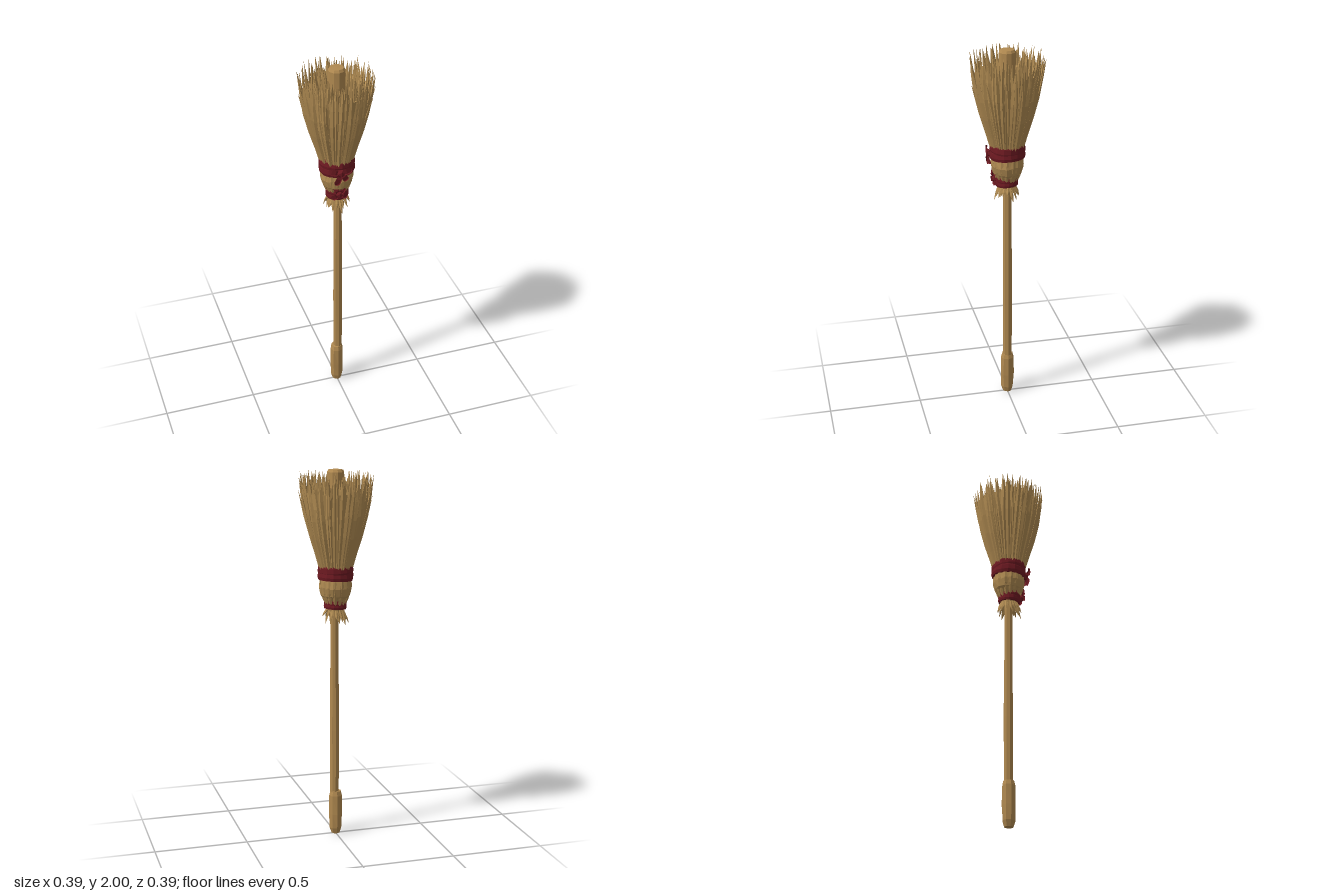
import * as THREE from 'three';
import { mergeGeometries } from 'three/addons/utils/BufferGeometryUtils.js';

const straw = new THREE.MeshStandardMaterial({ color: 0xb08b52, side: THREE.DoubleSide, flatShading: true });
straw.name = 'straw';
const wood = new THREE.MeshStandardMaterial({ color: 0xb08950, flatShading: true });
wood.name = 'wood';
const cloth = new THREE.MeshStandardMaterial({ color: 0x6e1a22, flatShading: true });
cloth.name = 'red cloth';

let seed = 7;
const rnd = (a = 0, b = 1) => {
  seed = (seed * 16807) % 2147483647;
  return a + (b - a) * (seed / 2147483647);
};
const dir = (a) => new THREE.Vector3(Math.sin(a), 0, Math.cos(a));

// Broom head radius at height y
const headProfile = [[1.40, 0.07], [1.48, 0.082], [1.56, 0.108], [1.66, 0.138], [1.78, 0.165], [1.90, 0.181], [2.02, 0.188]];
function headRadius(y) {
  for (let i = 1; i < headProfile.length; i++) {
    const [y0, r0] = headProfile[i - 1], [y1, r1] = headProfile[i];
    if (y <= y1) return THREE.MathUtils.lerp(r0, r1, (y - y0) / (y1 - y0));
  }
  return 0.188;
}

// Joins rings of points (counter-clockwise seen from above) into a closed skin
function loft(rings) {
  const n = rings[0].length, pos = rings.flat().flatMap((p) => [p.x, p.y, p.z]), idx = [];
  for (let i = 0; i < rings.length - 1; i++) {
    for (let j = 0; j < n; j++) {
      const a = i * n + j, b = i * n + (j + 1) % n;
      idx.push(a, b, b + n, a, b + n, a + n);
    }
  }
  const top = (rings.length - 1) * n;
  for (let j = 1; j < n - 1; j++) idx.push(0, j + 1, j, top, top + j, top + j + 1);
  const g = new THREE.BufferGeometry();
  g.setAttribute('position', new THREE.Float32BufferAttribute(pos, 3));
  g.setIndex(idx);
  const flat = g.toNonIndexed();
  flat.computeVertexNormals();
  return flat;
}

// One straw: a diamond section swept upward and tapered to a point
function strand(a, y0, y1, radiusAt, width, thick, twist, steps = 5) {
  const rings = [];
  for (let i = 0; i <= steps; i++) {
    const t = i / steps, y = THREE.MathUtils.lerp(y0, y1, t);
    const ang = a + twist * t * t;
    const taper = t < 0.7 ? 0.6 + 0.57 * t : Math.max(0.06, (1 - t) / 0.3);
    const out = dir(ang), side = dir(ang + Math.PI / 2);
    const c = out.clone().multiplyScalar(radiusAt(y, t)).setY(y);
    const w = width * taper, h = thick * taper;
    rings.push([[h, 0], [0, w], [-h, 0], [0, -w]].map(([o, s]) =>
      c.clone().addScaledVector(out, o).addScaledVector(side, s)));
  }
  return loft(rings);
}

// Faceted turned form, roughened a little by a rule
function turned(points, sides, rough = 0) {
  const g = new THREE.LatheGeometry(points.map(([r, y]) => new THREE.Vector2(r, y)), sides);
  const p = g.attributes.position;
  for (let i = 0; i < p.count; i++) {
    const x = p.getX(i), y = p.getY(i), z = p.getZ(i), a = Math.atan2(x, z);
    const k = 1 + rough * (Math.sin(a * 3 + y * 40) + 0.6 * Math.cos(a * 5 - y * 23));
    p.setXYZ(i, x * k, y, z * k);
  }
  const flat = g.toNonIndexed();
  flat.computeVertexNormals();
  return flat;
}

export function createModel() {
  const broom = new THREE.Group();
  broom.name = 'broom';
  const add = (name, geometry, material, parent = broom) => {
    const m = new THREE.Mesh(geometry, material);
    m.name = name;
    parent.add(m);
    return m;
  };

  // Handle with thick grip and flat end in the middle of the bristles
  add('shaft', turned([[0.024, 0.22], [0.026, 0.6], [0.023, 1.0], [0.022, 1.3], [0.026, 1.75]], 8, 0.03), wood)
    .position.x = 0.006;
  add('grip', turned([[0, 0.005], [0.024, 0.008], [0.034, 0.04], [0.037, 0.12], [0.036, 0.225], [0.029, 0.25], [0, 0.252]], 8, 0.03), wood);
  add('handleTip', turned([[0.026, 1.72], [0.036, 1.8], [0.045, 1.9], [0.044, 1.985], [0.036, 1.998], [0, 2.0]], 10, 0.015), wood);

  // Bristles: a solid flared body with rings of straws over and inside it
  const bristles = new THREE.Group();
  bristles.name = 'bristles';
  broom.add(bristles);
  const body = [1.44, 1.52, 1.6, 1.7, 1.8, 1.88].map((y) => [headRadius(y) * 0.93, y]);
  add('bristleBody', turned([...body, [0.13, 1.86], [0.085, 1.8], [0.03, 1.72]], 26, 0.012), straw, bristles);
  const layers = [
    { n: 54, scale: 0.97, width: 0.0145, low: 1.45, min: 1.93 },
    { n: 46, scale: 0.86, width: 0.013, low: 1.6, min: 1.9 },
    { n: 38, scale: 0.7, width: 0.013, low: 1.65, min: 1.89 },
    { n: 28, scale: 0.53, width: 0.012, low: 1.68, min: 1.84 },
  ];
  layers.forEach(({ n, scale, width, low, min }, k) => {
    const parts = [];
    for (let i = 0; i < n; i++) {
      const s = scale * rnd(0.97, 1.03), flare = rnd(-0.008, 0.016);
      parts.push(strand((i + rnd(-0.35, 0.35)) / n * Math.PI * 2, low, rnd(min, 1.99),
        (y, t) => headRadius(y) * s + flare * t ** 3, width * rnd(0.75, 1.3), rnd(0.007, 0.012), rnd(-0.09, 0.09)));
    }
    add('strawLayer' + (k + 1), mergeGeometries(parts), straw, bristles);
  });

  // Loose straws that lean outward
  const loose = [];
  for (let i = 0; i < 18; i++) {
    const flare = rnd(0.008, 0.026);
    loose.push(strand(i * 2.4 + 1.4, rnd(1.5, 1.6), rnd(1.8, 1.98),
      (y, t) => headRadius(y) + flare * t ** 3 - 0.002, 0.009, 0.006, rnd(-0.08, 0.08)));
  }
  add('looseStraws', mergeGeometries(loose), straw, bristles);

  // Bound neck between the two bands
  add('neck', turned([[0.045, 1.26], [0.055, 1.31], [0.077, 1.34], [0.086, 1.38], [0.081, 1.42], [0.075, 1.46]], 14, 0.025), straw);
  const neckStraws = [], frayed = [];
  for (let i = 0; i < 16; i++) {
    neckStraws.push(strand(i / 16 * Math.PI * 2 + rnd(0, 0.2), 1.29, 1.45,
      (y, t) => 0.052 + 0.03 * Math.sin(Math.min(1, t * 1.2) * Math.PI * 0.6), 0.015, 0.006, rnd(-0.1, 0.1)));
  }
  add('neckStraws', mergeGeometries(neckStraws), straw);

  // Frayed straw ends below the lower band, pointing down
  for (let i = 0; i < 22; i++) {
    const spread = rnd(0.022, 0.04), drop = rnd(0.06, 0.1);
    const g = strand(-i / 22 * Math.PI * 2 + rnd(-0.1, 0.1), 0, drop,
      (y, t) => 0.034 + spread * t, 0.0095, 0.006, rnd(-0.2, 0.2), 3);
    g.rotateX(Math.PI);
    g.translate(0, 1.285, 0);
    frayed.push(g);
  }
  add('frayedEnds', mergeGeometries(frayed), straw);

  // Cloth bands, each wound from two slightly tilted loops
  const band = (name, y, r, h, z) => {
    const group = new THREE.Group();
    group.name = name;
    group.position.set(0, y, z);
    broom.add(group);
    [[-0.22, 0.05], [0.22, -0.05]].forEach(([dy, tilt], i) => {
      const b = h * 0.36, inner = r * 0.8;
      const ring = add('loop' + (i + 1), turned([[inner, -b], [r * 0.97, -b], [r * 1.02, -b * 0.4],
        [r, b * 0.5], [r * 0.96, b], [inner, b]], 16, 0.015), cloth, group);
      ring.position.y = dy * h;
      ring.rotation.set(tilt * 0.7, 0, tilt);
    });
  };
  band('upperBand', 1.463, 0.093, 0.075, 0);
  band('lowerBand', 1.295, 0.06, 0.05, 0.004);

  // Knots at the front with short ragged tails
  const knot = (name, y, z, s, tails) => {
    const group = new THREE.Group();
    group.name = name;
    group.position.set(-0.008, y, z);
    broom.add(group);
    const k = add('knotBody', new THREE.IcosahedronGeometry(0.022 * s, 0), cloth, group);
    k.scale.set(1.1, 1.1, 0.75);
    tails.forEach(([turn, length], i) => {
      const rings = [[0, 0.007], [0.5, 0.014], [0.85, 0.015], [1, 0.005]].map(([t, w]) =>
        [[-w, -0.004], [w, -0.004], [w, 0.004], [-w, 0.004]].map(([x, d]) =>
          new THREE.Vector3(x * s, t * length, -d + 0.008 * Math.sin(t * Math.PI)).multiply(new THREE.Vector3(1, 1, 1))));
      const tail = add('tail' + (i + 1), loft(rings.map((r) => r.reverse())), cloth, group);
      tail.material = cloth;
      tail.rotation.z = turn;
    });
  };
  knot('upperKnot', 1.445, 0.096, 1, [[2.75, 0.07], [-2.5, 0.055], [1.25, 0.06], [-1.3, 0.06]]);
  knot('lowerKnot', 1.302, 0.07, 0.85, [[0.45, 0.055], [-0.55, 0.05], [1.9, 0.045], [-1.9, 0.045]]);

  return broom;
}
